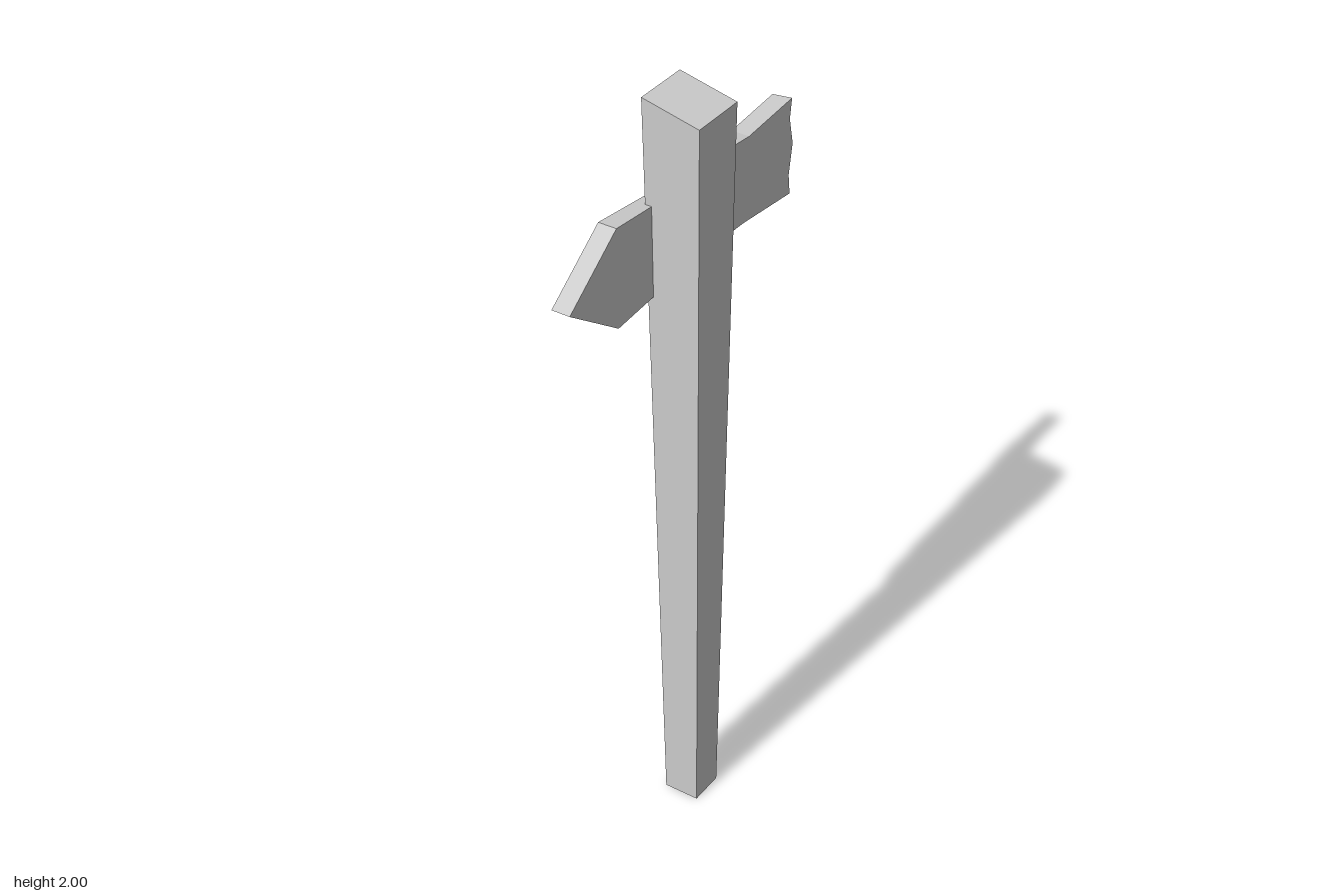
import * as THREE from 'three';

const material = new THREE.MeshStandardMaterial({
  color: 0xcccccc, flatShading: true, side: THREE.DoubleSide,
});

// Square post, wider towards a slanted top, open underneath
function createPost() {
  const box = new THREE.BoxGeometry(1, 1, 1);
  const index = Array.from(box.index.array);
  index.splice(18, 6); // drop the bottom face
  box.setIndex(index);
  const pos = box.attributes.position;
  for (let i = 0; i < pos.count; i++) {
    const top = pos.getY(i) > 0, left = pos.getX(i) > 0, front = pos.getZ(i) > 0;
    if (top) pos.setXYZ(i, left ? 0.086 : -0.062, left ? 1.966 : 2, front ? 0.142 : -0.006);
    else pos.setXYZ(i, left ? 0.059 : -0.034, 0, front ? 0.116 : 0.024);
  }
  const geometry = box.toNonIndexed();
  geometry.computeVertexNormals();
  const post = new THREE.Mesh(geometry, material);
  post.name = 'post';
  return post;
}

// Arrow board: outline as [z, y], from the tip along the top to the ragged end and back
function createBoard() {
  const outline = [
    [0.45, 1.62], [0.272, 1.748], [0.1, 1.732], [-0.06, 1.742], [-0.257, 1.723], [-0.442, 1.737],
    [-0.434, 1.685], [-0.449, 1.614], [-0.434, 1.535], [-0.44, 1.481],
    [-0.24, 1.502], [-0.05, 1.509], [0.1, 1.502], [0.272, 1.491],
  ];
  const shape = new THREE.Shape(outline.map(([z, y]) => new THREE.Vector2(-z, y)));
  const geometry = new THREE.ExtrudeGeometry(shape, { depth: 0.048, bevelEnabled: false });
  geometry.rotateY(Math.PI / 2).translate(-0.089, 0, 0);

  // Outer face: worn notch in the top edge and a slightly skewed ragged end
  const pos = geometry.attributes.position;
  for (let i = 0; i < pos.count; i++) {
    if (pos.getX(i) > -0.07) continue;
    const z = pos.getZ(i);
    if (Math.abs(z - 0.1) < 0.01 && pos.getY(i) > 1.6) pos.setX(i, -0.083);
    if (z < -0.4) pos.setZ(i, z + 0.009);
  }
  geometry.computeVertexNormals();
  const board = new THREE.Mesh(geometry, material);
  board.name = 'arrowBoard';
  return board;
}

export function createModel() {
  const group = new THREE.Group();
  group.name = 'signpost';
  group.add(createPost(), createBoard());
  return group;
}
